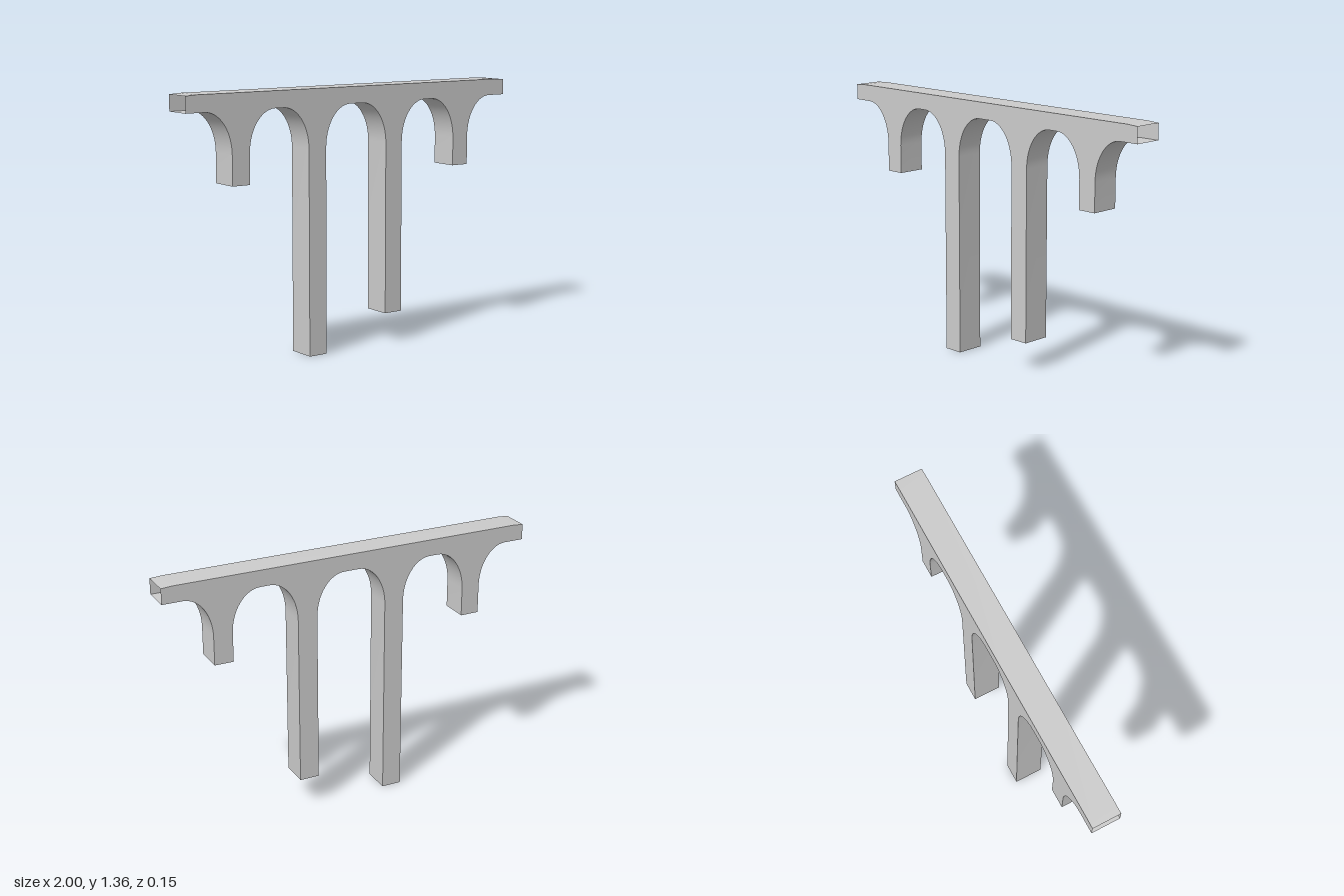
import * as THREE from 'three';
import { toCreasedNormals } from 'three/addons/utils/BufferGeometryUtils.js';

const HALF_DEPTH = 0.075, CROWN = 1.275, SPRING = 1.06, RX = 0.15, STEPS = 14;
// Piers from -x to +x: left edge, right edge, foot height
const PIERS = [[-0.745, -0.645, 0.91], [-0.295, -0.19, 0], [0.19, 0.295, 0.16], [0.645, 0.745, 0.91]];

// Quarter ellipse beside a pier; side -1 falls onto its left face, +1 rises off its right face
function haunch(edge, side) {
  const pts = [];
  for (let i = 0; i <= STEPS; i++) {
    const a = (i / STEPS) * Math.PI / 2;
    pts.push(new THREE.Vector2(edge + side * RX * (1 - Math.cos(a)), SPRING + (CROWN - SPRING) * Math.sin(a)));
  }
  return side < 0 ? pts.reverse() : pts;
}

// Surface swept across the depth along an open line; outward is to the right of travel
function strip(pts) {
  const pos = [];
  for (let i = 0; i < pts.length - 1; i++) {
    const a = pts[i], b = pts[i + 1], d = HALF_DEPTH;
    pos.push(a.x, a.y, d, a.x, a.y, -d, b.x, b.y, -d);
    pos.push(a.x, a.y, d, b.x, b.y, -d, b.x, b.y, d);
  }
  const geo = new THREE.BufferGeometry();
  geo.setAttribute('position', new THREE.Float32BufferAttribute(pos, 3));
  return toCreasedNormals(geo, 0.5);
}

export function createModel() {
  const group = new THREE.Group();
  group.name = 'viaduct';
  const material = new THREE.MeshStandardMaterial({ color: 0xcccccc, side: THREE.DoubleSide });
  const add = (name, geo) => {
    const mesh = new THREE.Mesh(geo, material);
    mesh.name = name;
    group.add(mesh);
    return mesh;
  };

  // Underside line: arches and piers, from -x to +x
  const under = [new THREE.Vector2(-1, CROWN)];
  for (const [l, r, foot] of PIERS) {
    under.push(...haunch(l, -1), new THREE.Vector2(l, foot), new THREE.Vector2(r, foot), ...haunch(r, 1));
  }
  under.push(new THREE.Vector2(1, CROWN));

  // Deck line, from +x back to -x, dipping slightly at the ends
  const deck = [[1, 1.357], [0.94, 1.361], [-0.94, 1.361], [-1, 1.357]].map(p => new THREE.Vector2(...p));

  // Side walls
  const wall = new THREE.ShapeGeometry(new THREE.Shape([...under, ...deck]));
  add('frontWall', wall).position.z = HALF_DEPTH;
  const back = add('backWall', wall.clone().scale(-1, 1, 1).rotateY(Math.PI));
  back.position.z = -HALF_DEPTH;
  // Reverse the back wall's triangles so that it faces -z
  const idx = back.geometry.index;
  for (let i = 0; i < idx.count; i += 3) {
    const t = idx.getX(i);
    idx.setX(i, idx.getX(i + 1));
    idx.setX(i + 1, t);
  }
  back.geometry.computeVertexNormals();

  // Arch soffits with pier faces, and the deck; both ends stay open
  add('archesAndPiers', strip(under));
  add('deck', strip(deck));
  return group;
}
